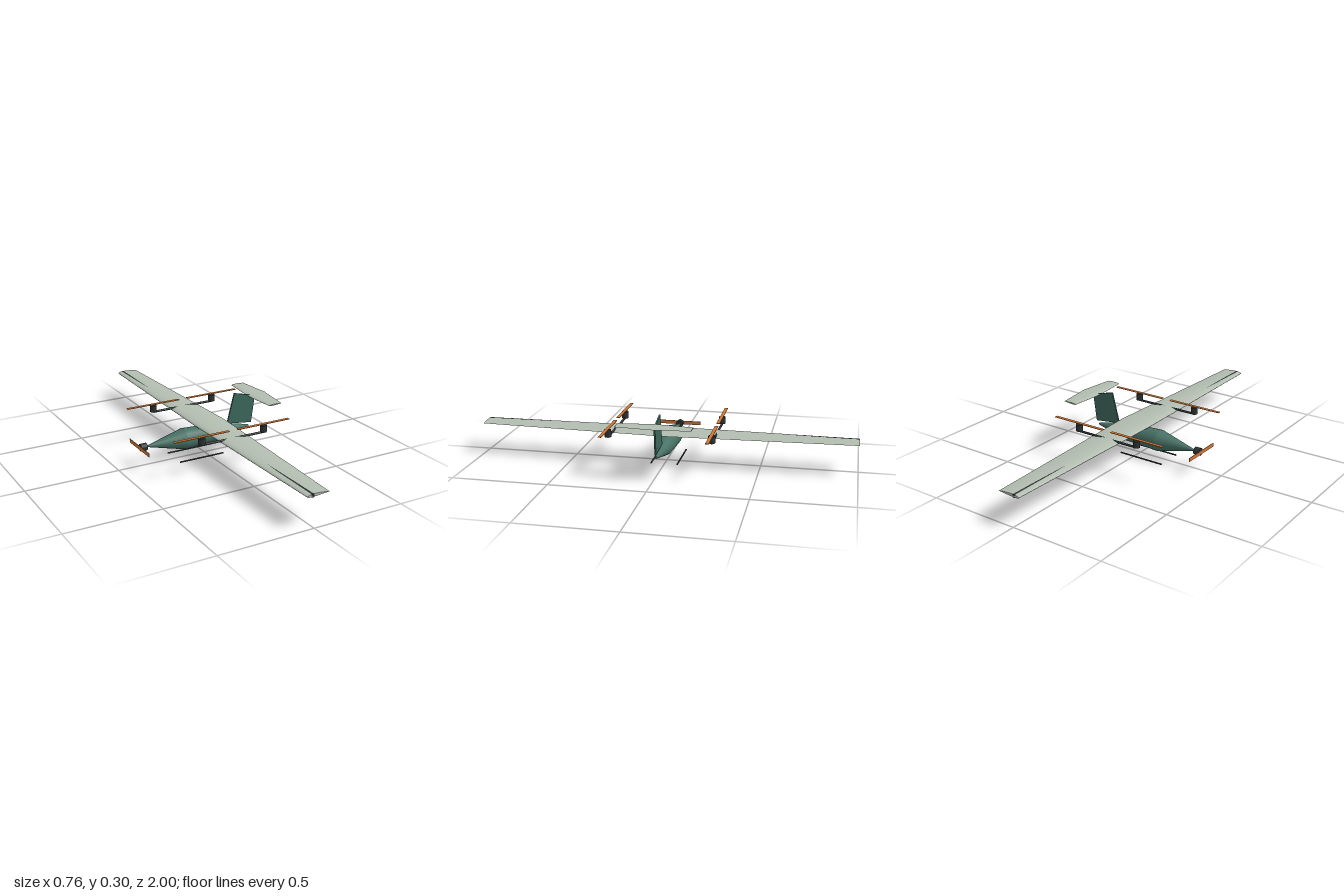
import * as THREE from 'three';
import { toCreasedNormals } from 'three/addons/utils/BufferGeometryUtils.js';

const mat = (color) => new THREE.MeshStandardMaterial({ color });

// Tapered airfoil surface; each station is { z, lead, trail }
function airfoil(stations, y, thickness, camber, rise) {
  const N = 14, outline = [];
  const point = (t, side) => {
    const half = 5 * thickness * (0.2969 * Math.sqrt(t) - 0.126 * t - 0.3516 * t * t
      + 0.2843 * t ** 3 - 0.1036 * t ** 4);
    const p = 0.4;
    const mean = t < p ? camber / p ** 2 * (2 * p * t - t * t)
      : camber / (1 - p) ** 2 * (1 - 2 * p + 2 * p * t - t * t);
    outline.push([t, mean + side * half + rise * t]);
  };
  for (let i = 0; i <= N; i++) point((1 + Math.cos(Math.PI * i / N)) / 2, 1);
  for (let i = 1; i < N; i++) point((1 - Math.cos(Math.PI * i / N)) / 2, -1);

  const M = outline.length, pos = [], idx = [];
  for (const { z, lead, trail } of stations) {
    const c = trail - lead;
    for (const [u, v] of outline) pos.push(lead + u * c, y + v * c, z);
  }
  for (let s = 0; s < stations.length - 1; s++) {
    for (let i = 0; i < M; i++) {
      const a = s * M + i, b = s * M + (i + 1) % M;
      idx.push(a, b, b + M, a, b + M, a + M);
    }
  }
  const last = (stations.length - 1) * M;
  for (let i = 1; i < M - 1; i++) {
    idx.push(0, i + 1, i, last, last + i, last + i + 1);
  }
  const geo = new THREE.BufferGeometry();
  geo.setAttribute('position', new THREE.Float32BufferAttribute(pos, 3));
  geo.setIndex(idx);
  return toCreasedNormals(geo, 0.7);
}

export function createModel() {
  const model = new THREE.Group();
  const green = mat(0x467064), darkGreen = mat(0x3c665b), pale = mat(0xb2bdb0);
  const dark = mat(0x2b3133), orange = mat(0xcf7634);

  const add = (name, geo, material, x = 0, y = 0, z = 0) => {
    const mesh = new THREE.Mesh(geo, material);
    mesh.name = name;
    mesh.position.set(x, y, z);
    model.add(mesh);
    return mesh;
  };
  // Round bar along x, r0 at its -x end and r1 at its +x end
  const barX = (name, x0, x1, r0, r1, y, z, material, sides = 24) =>
    add(name, new THREE.CylinderGeometry(r0, r1, x1 - x0, sides).rotateZ(Math.PI / 2),
      material, (x0 + x1) / 2, y, z);

  // Fuselage, nose towards -x
  barX('noseCone', -0.345, -0.125, 0.002, 0.057, 0.1, 0, green);
  barX('fuselageBody', -0.125, 0.085, 0.057, 0.048, 0.1, 0, green);
  barX('tailCone', 0.085, 0.274, 0.048, 0.006, 0.1, 0, green);

  // Nose motor and propeller
  barX('noseMotor', -0.376, -0.342, 0.02, 0.02, 0.1, 0, dark);
  add('nosePropeller', new THREE.BoxGeometry(0.003, 0.02, 0.23), orange, -0.38, 0.1, 0);

  // Main wing and the spar running through it
  add('wing', airfoil([
    { z: -1, lead: -0.045, trail: 0.075 },
    { z: 0, lead: -0.06, trail: 0.12 },
    { z: 1, lead: -0.045, trail: 0.075 },
  ], 0.163, 0.12, 0.02, 0.015), pale);
  add('wingSpar', new THREE.CylinderGeometry(0.0098, 0.0098, 2, 16).rotateX(Math.PI / 2),
    dark, -0.015, 0.1645, 0);

  // Tail fin
  const outline = new THREE.Shape([[0.14, 0.136], [0.29, 0.117], [0.312, 0.268], [0.183, 0.3]]
    .map(([x, y]) => new THREE.Vector2(x, y)));
  const fin = new THREE.ExtrudeGeometry(outline, { depth: 0.008, bevelEnabled: false });
  add('tailFin', fin, darkGreen, 0, 0, -0.004);

  // Tailplane
  add('tailplane', airfoil([
    { z: -0.192, lead: 0.282, trail: 0.358 },
    { z: 0, lead: 0.266, trail: 0.378 },
    { z: 0.192, lead: 0.282, trail: 0.358 },
  ], 0.271, 0.1, 0.01, 0.035), pale);

  // Lift booms with rotors, and landing skids, on both sides
  for (const s of [1, -1]) {
    const side = s > 0 ? 'Front' : 'Back';
    const z = s * 0.27;
    barX('liftBoom' + side, -0.165, 0.197, 0.006, 0.006, 0.17, z, dark, 16);
    for (const x of [-0.165, 0.197]) {
      add('liftMotor' + side, new THREE.CylinderGeometry(0.018, 0.018, 0.037, 24),
        dark, x, 0.19, z);
      add('liftRotor' + side, new THREE.BoxGeometry(0.312, 0.003, 0.018),
        orange, x, 0.214, z);
    }
    barX('skid' + side, -0.182, 0.078, 0.004, 0.004, 0.004, s * 0.07, dark, 12);
  }
  return model;
}
